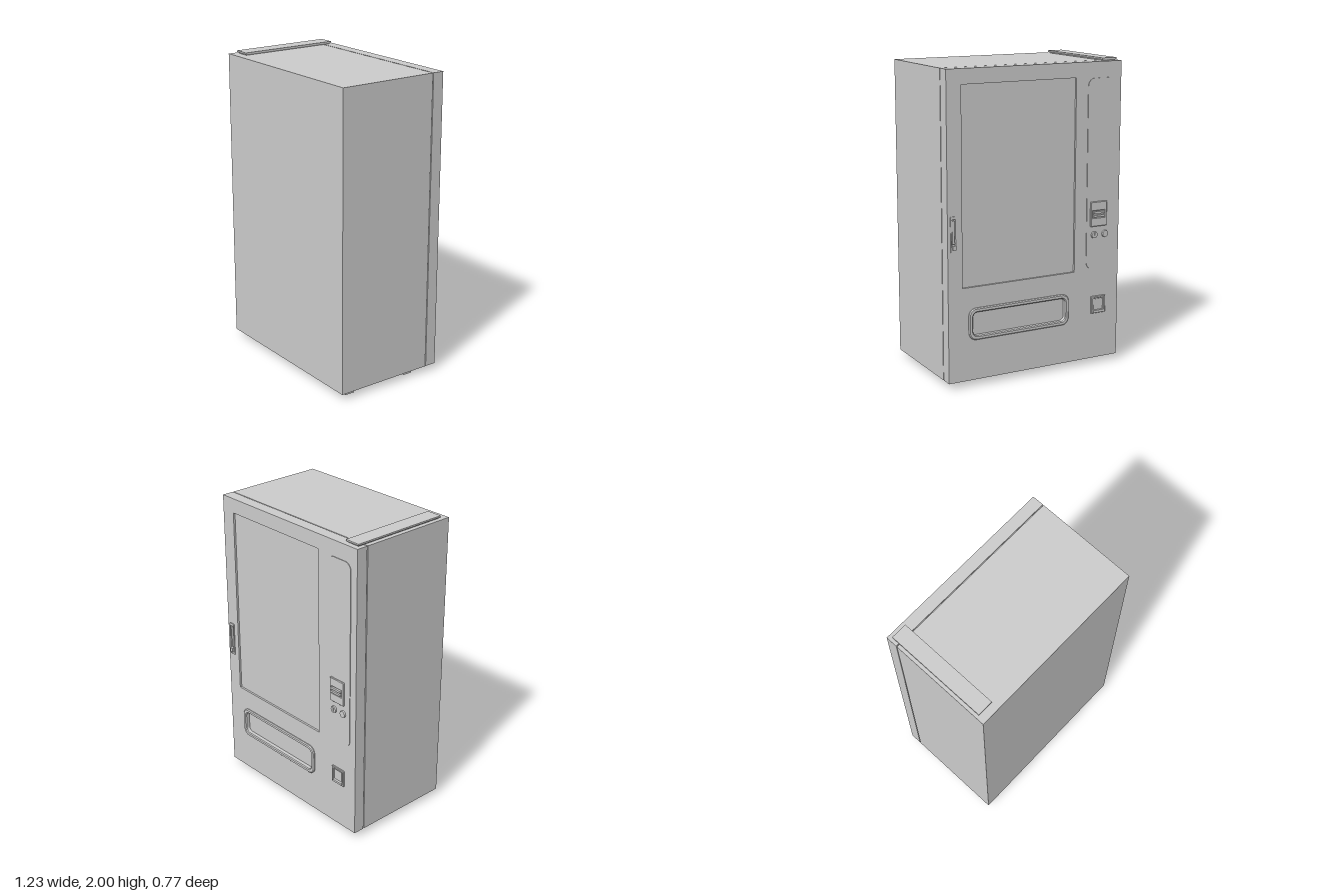
import * as THREE from 'three';

const material = new THREE.MeshStandardMaterial({ color: 0xcccccc, flatShading: true });

function add(parent, name, geometry) {
  const mesh = new THREE.Mesh(geometry, material);
  mesh.name = name;
  parent.add(mesh);
  return mesh;
}

// Box given by its limits on each axis
function box(parent, name, x0, x1, y0, y1, z0, z1) {
  const mesh = add(parent, name, new THREE.BoxGeometry(x1 - x0, y1 - y0, z1 - z0));
  mesh.position.set((x0 + x1) / 2, (y0 + y1) / 2, (z0 + z1) / 2);
  return mesh;
}

// Rounded rectangle outline from [x0, x1, y0, y1, radius]
function outline([x0, x1, y0, y1, r], Type = THREE.Shape) {
  const s = new Type();
  if (!r) {
    s.moveTo(x0, y0).lineTo(x1, y0).lineTo(x1, y1).lineTo(x0, y1).closePath();
    return s;
  }
  s.absarc(x1 - r, y0 + r, r, -Math.PI / 2, 0);
  s.absarc(x1 - r, y1 - r, r, 0, Math.PI / 2);
  s.absarc(x0 + r, y1 - r, r, Math.PI / 2, Math.PI);
  s.absarc(x0 + r, y0 + r, r, Math.PI, Math.PI * 1.5);
  s.closePath();
  return s;
}

// Extruded plate from z0 to z1 with holes and an optional chamfer on its front edge
function plate(parent, name, rect, z0, z1, holes = [], bevel = 0) {
  const shape = outline(rect);
  for (const h of holes) shape.holes.push(outline(h, THREE.Path));
  const geometry = new THREE.ExtrudeGeometry(shape, {
    depth: z1 - z0 - bevel, curveSegments: 6, bevelEnabled: bevel > 0,
    bevelSize: bevel, bevelThickness: bevel, bevelOffset: -bevel, bevelSegments: 1,
  });
  geometry.translate(0, 0, z0);
  return add(parent, name, geometry);
}

export function createModel() {
  const model = new THREE.Group();
  model.name = 'vendingMachine';

  // Cabinet and the narrow gasket between it and the door
  box(model, 'cabinet', -0.615, 0.615, 0.04, 1.982, -0.288, 0.385);
  box(model, 'gasket', -0.607, 0.607, 0.048, 1.974, -0.3, -0.28);

  // Four square feet
  for (const x of [-0.535, 0.535])
    for (const z of [-0.18, 0.29])
      box(model, 'foot', x - 0.0325, x + 0.0325, 0, 0.045, z - 0.0325, z + 0.0325);

  // Cable cover on the roof, narrowing toward its base
  const cover = box(model, 'roofCover', -0.595, -0.49, 1.98, 2, -0.343, 0.333);
  const p = cover.geometry.attributes.position;
  for (let i = 0; i < p.count; i++)
    if (p.getY(i) < 0) p.setXYZ(i, p.getX(i) * 0.8, p.getY(i), p.getZ(i) * 0.97);
  box(model, 'roofCoverRim', -0.595, -0.49, 1.99, 2, -0.343, 0.333);

  // Door assembly, built facing +z and turned to the back
  const door = new THREE.Group();
  door.name = 'door';
  door.rotation.y = Math.PI;
  model.add(door);

  const windowRect = [-0.516, 0.283, 0.64, 1.887, 0];
  const slotRect = [-0.45, 0.213, 0.327, 0.478, 0.03];
  const gripRect = [-0.587, -0.563, 0.89, 1.08, 0];
  plate(door, 'doorPanel', [-0.615, 0.615, 0.04, 1.982, 0], 0.294, 0.37,
    [windowRect, slotRect, gripRect]);
  box(door, 'displayWindow', -0.53, 0.3, 0.625, 1.9, 0.31, 0.357);

  // Delivery slot with a raised frame and a set-back flap
  plate(door, 'deliveryFrame', [-0.477, 0.24, 0.3, 0.505, 0.05], 0.36, 0.382, [slotRect], 0.006);
  box(door, 'deliveryFlap', -0.46, 0.225, 0.315, 0.49, 0.31, 0.352);

  // Door handle in its framed recess
  plate(door, 'handleFrame', [-0.596, -0.554, 0.872, 1.097, 0.006], 0.36, 0.376, [gripRect]);
  box(door, 'handleRecess', -0.595, -0.555, 0.88, 1.09, 0.31, 0.352);
  box(door, 'handleGrip', -0.583, -0.567, 0.925, 1.07, 0.34, 0.37);
  box(door, 'handleLock', -0.586, -0.564, 0.89, 0.918, 0.34, 0.386);

  // Control panel
  plate(door, 'controlPanel', [0.37, 0.565, 0.645, 1.88, 0.05], 0.36, 0.374);

  // Note reader with a slot between an upper and a lower lip
  const noteHole = [0.412, 0.498, 0.985, 1.03, 0];
  plate(door, 'noteReader', [0.395, 0.518, 0.927, 1.09, 0.006], 0.365, 0.383, [noteHole], 0.004);
  box(door, 'noteLipUpper', 0.415, 0.495, 1.012, 1.026, 0.365, 0.388);
  box(door, 'noteLipLower', 0.415, 0.495, 0.989, 1.002, 0.365, 0.388);

  // Coin entry and return button
  for (const [name, x, y] of [['coinEntry', 0.427, 0.872], ['returnButton', 0.508, 0.872]]) {
    const disc = add(door, name, new THREE.CylinderGeometry(0.021, 0.025, 0.02, 20));
    disc.rotation.x = Math.PI / 2;
    disc.position.set(x, y, 0.374);
  }
  box(door, 'coinSlit', 0.424, 0.43, 0.86, 0.884, 0.375, 0.387);

  // Coin return tray
  plate(door, 'coinReturnFrame', [0.41, 0.518, 0.345, 0.46, 0.006], 0.365, 0.38,
    [[0.426, 0.502, 0.36, 0.445, 0]], 0.003);
  box(door, 'coinReturnFlap', 0.432, 0.496, 0.372, 0.44, 0.365, 0.374);
  box(door, 'coinReturnLip', 0.426, 0.502, 0.353, 0.366, 0.365, 0.386);

  return model;
}
